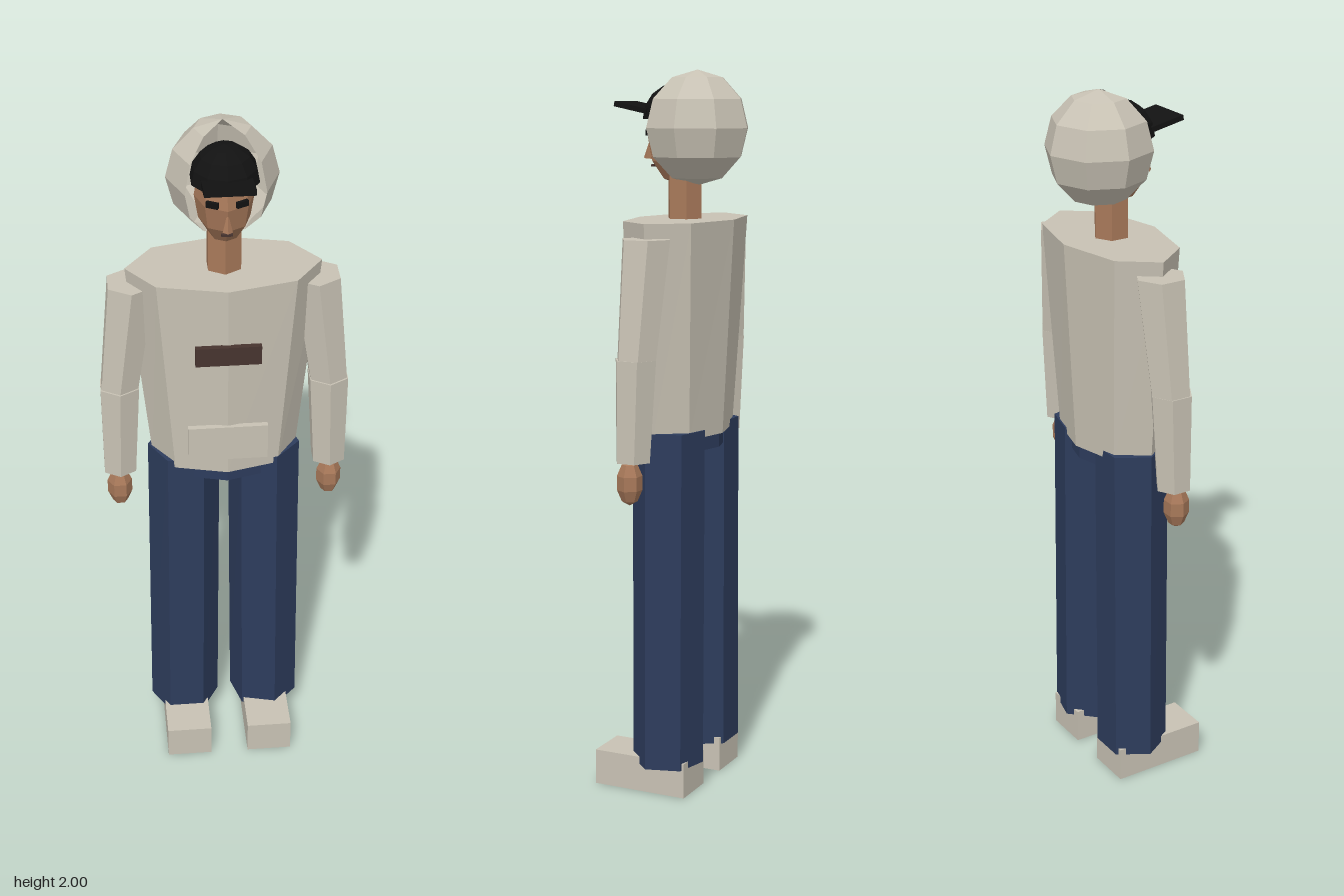
import * as THREE from 'three';

const mat = (name, color, side = THREE.FrontSide) => {
  const m = new THREE.MeshStandardMaterial({ color, flatShading: true, side });
  m.name = name;
  return m;
};

export function createModel() {
  const cream = mat('cream cloth', 0xc8c2b4, THREE.DoubleSide);
  const denim = mat('navy denim', 0x2d3c5c);
  const skin = mat('skin', 0xa8795a);
  const black = mat('black', 0x121212);
  const brown = mat('dark brown', 0x47342f);

  const group = new THREE.Group();
  const add = (name, geometry, material, x = 0, y = 0, z = 0) => {
    const mesh = new THREE.Mesh(geometry, material);
    mesh.name = name;
    mesh.position.set(x, y, z);
    group.add(mesh);
    return mesh;
  };
  const box = (name, material, w, h, d, x, y, z) =>
    add(name, new THREE.BoxGeometry(w, h, d), material, x, y, z);

  // Faceted tube with horizontal rings; each end is [x, y, z, radiusX, radiusZ]
  const limb = (name, material, sides, top, bottom, turn = 0) => {
    const g = new THREE.CylinderGeometry(1, 1, 1, sides, 1, false, turn);
    const p = g.attributes.position;
    for (let i = 0; i < p.count; i++) {
      const e = p.getY(i) > 0 ? top : bottom;
      p.setXYZ(i, e[0] + p.getX(i) * e[3], e[1], e[2] + p.getZ(i) * e[4]);
    }
    g.computeVertexNormals();
    return add(name, g, material);
  };
  const ellipsoid = (name, material, w, h, rx, ry, rz, x, y, z) =>
    add(name, new THREE.SphereGeometry(1, w, h).scale(rx, ry, rz), material, x, y, z);

  // Sweater with front pocket and chest patch
  limb('torso', cream, 8, [0, 1.6, -0.01, 0.26, 0.143], [0, 1.01, -0.003, 0.2, 0.118]);
  box('chestPatch', brown, 0.175, 0.055, 0.016, 0, 1.407, 0.132);
  box('frontPocket', cream, 0.216, 0.106, 0.016, 0, 1.118, 0.12);

  // Trousers
  limb('hips', denim, 8, [0, 1.02, -0.005, 0.17, 0.105], [0, 0.97, -0.005, 0.17, 0.105]);

  for (const s of [1, -1]) {
    const side = s > 0 ? 'left' : 'right';
    const turn = THREE.MathUtils.degToRad(s > 0 ? 16 : 30);
    limb(side + 'Leg', denim, 6,
      [s * 0.112, 1.03, -0.01, 0.1, 0.1], [s * 0.12, 0.08, -0.01, 0.101, 0.1], turn);
    box(side + 'Shoe', cream, 0.13, 0.1, 0.277, s * 0.12, 0.05, 0.0485);

    // Sleeves and hands
    limb(side + 'UpperArm', cream, 6,
      [s * 0.245, 1.56, -0.01, 0.07, 0.07], [s * 0.285, 1.24, 0, 0.057, 0.057]);
    limb(side + 'Forearm', cream, 6,
      [s * 0.285, 1.245, 0.002, 0.06, 0.06], [s * 0.292, 0.97, 0.008, 0.05, 0.05]);
    ellipsoid(side + 'Hand', skin, 6, 5, 0.036, 0.062, 0.036, s * 0.295, 0.912, 0.017);

    // Eyes lie on the slanted front facets of the face
    const eye = box(side + 'Eye', black, 0.033, 0.016, 0.009, s * 0.038, 1.832, 0.091);
    eye.rotation.y = s * 0.48;
  }

  // Neck and face
  limb('neck', skin, 6, [0, 1.75, -0.005, 0.05, 0.05], [0, 1.59, -0.005, 0.05, 0.05]);
  ellipsoid('face', skin, 8, 6, 0.078, 0.13, 0.098, 0, 1.82, 0.01);
  const nose = add('nose', new THREE.ConeGeometry(0.013, 0.055, 4), skin, 0, 1.788, 0.104);
  nose.rotation.x = -0.12;
  box('mouth', brown, 0.03, 0.006, 0.008, 0, 1.742, 0.087);

  // Hood, open at the front
  const hood = new THREE.SphereGeometry(1, 6, 6, Math.PI * 0.75, Math.PI * 1.5);
  add('hood', hood.scale(0.147, 0.155, 0.147), cream, 0, 1.845, -0.043);

  // Cap with brim
  const dome = new THREE.SphereGeometry(1, 10, 4, Math.PI / 10, Math.PI * 2, 0, Math.PI / 2);
  add('capDome', dome.scale(0.091, 0.096, 0.092), black, 0, 1.868, 0.022);
  const underside = new THREE.CircleGeometry(1, 10, Math.PI / 10).rotateX(Math.PI / 2);
  add('capUnderside', underside.scale(0.091, 1, 0.092), black, 0, 1.868, 0.022);
  const brim = box('capBrim', black, 0.13, 0.014, 0.1, 0, 1.899, 0.129);
  brim.rotation.x = -0.2;

  return group;
}
